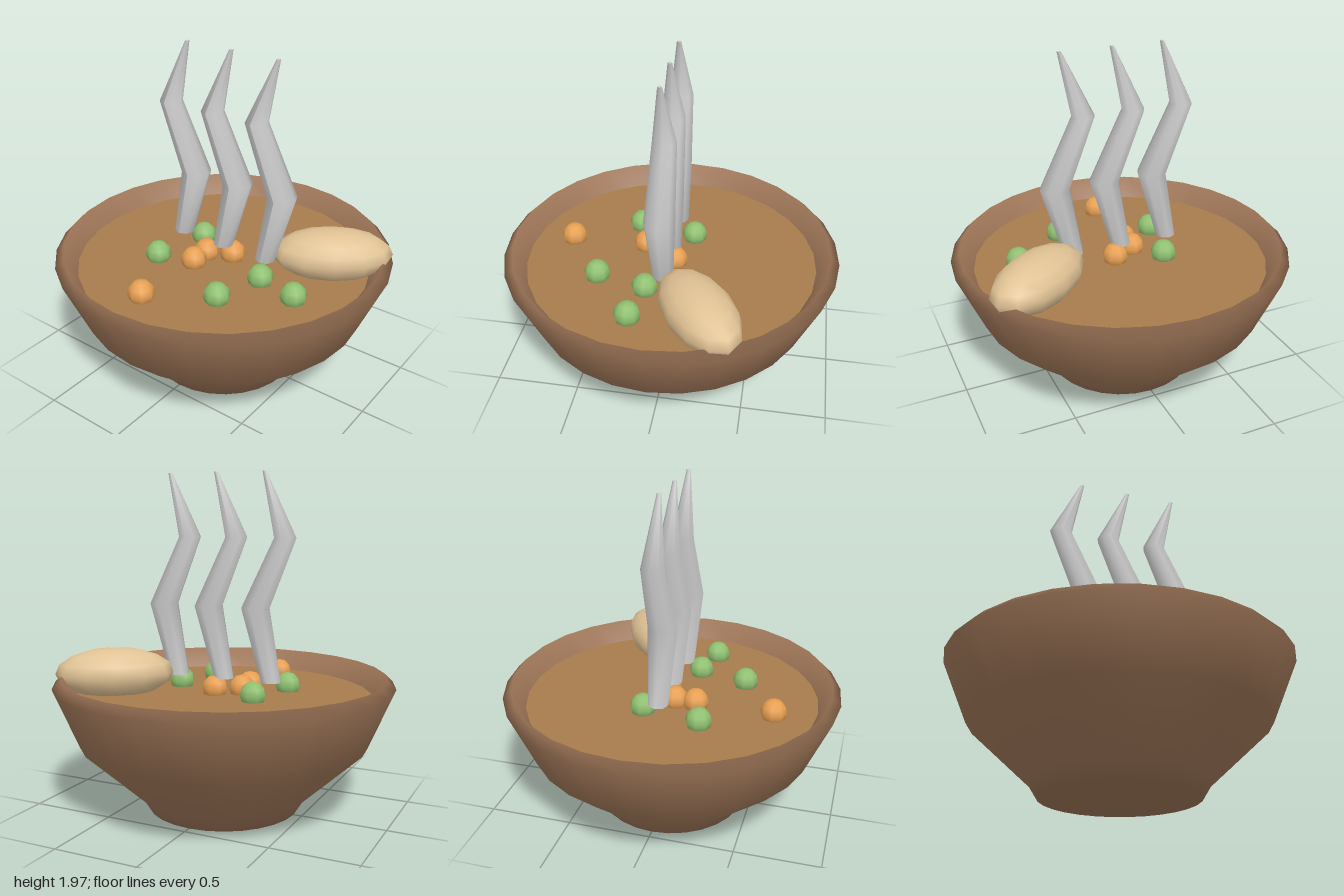
import * as THREE from 'three';

const material = (color, side = THREE.FrontSide) => new THREE.MeshStandardMaterial({ color, side });

function addPart(parent, name, geometry, mat, x = 0, y = 0, z = 0) {
  const mesh = new THREE.Mesh(geometry, mat);
  mesh.name = name;
  mesh.position.set(x, y, z);
  parent.add(mesh);
  return mesh;
}

// Wisp of steam: horizontal rings [x, y, radius] joined by a shared tube grid
function steamGeometry(rings, sides = 8) {
  const geometry = new THREE.CylinderGeometry(1, 1, 1, sides, rings.length - 1);
  const p = geometry.attributes.position;
  for (let i = 0; i < p.count; i++) {
    const k = Math.round((p.getY(i) + 0.5) * (rings.length - 1));
    const [x, y, r] = rings[k];
    p.setXYZ(i, x + p.getX(i) * r, y, p.getZ(i) * r);
  }
  geometry.computeVertexNormals();
  return geometry;
}

export function createModel() {
  const model = new THREE.Group();
  model.name = 'bowlOfSoup';
  const segments = 28;

  // Bowl: foot, flared wall, bevelled rim and inner wall down to the soup
  const profile = [
    [0, 0], [0.45, 0], [0.5, 0.08], [0.85, 0.4], [1, 0.75], [0.95, 0.8], [0.86, 0.66],
  ].map(([r, y]) => new THREE.Vector2(r, y));
  addPart(model, 'bowl', new THREE.LatheGeometry(profile, segments),
    material(0x9c7456, THREE.DoubleSide));

  // Soup surface
  const soup = new THREE.CircleGeometry(0.873, segments).rotateX(-Math.PI / 2);
  addPart(model, 'soup', soup, material(0xa67c4c), 0, 0.68, 0);

  // Vegetables floating in the soup
  const ball = new THREE.SphereGeometry(0.078, 8, 6);
  const vegetables = {
    pea: [0x8fc070, [[-0.235, -0.11], [-0.31, 0.24], [0.25, 0.4], [0.335, 0.1], [0.59, 0.15]]],
    carrot: [0xe8a052, [[-0.1, 0.63], [-0.095, 0.17], [-0.095, 0.045], [0.045, -0.03]]],
  };
  for (const [name, [color, spots]] of Object.entries(vegetables)) {
    const mat = material(color);
    for (const [x, z] of spots) addPart(model, name, ball, mat, x, 0.715, z);
  }

  // Bread roll resting over the rim
  const bread = addPart(model, 'bread', new THREE.SphereGeometry(1, 12, 8),
    material(0xe0c294), 0.6, 0.8, -0.25);
  bread.scale.set(0.35, 0.15, 0.19);
  bread.rotation.y = 0.6;

  // Three zigzag wisps of steam
  const wisp = steamGeometry([
    [0, 0.775, 0.06], [0.1, 1.2, 0.087], [-0.078, 1.6, 0.067], [0.05, 1.97, 0.012],
  ]);
  const steam = material(0xcccccc);
  for (const x of [-0.3, 0, 0.3]) addPart(model, 'steam', wisp, steam, x);

  return model;
}
